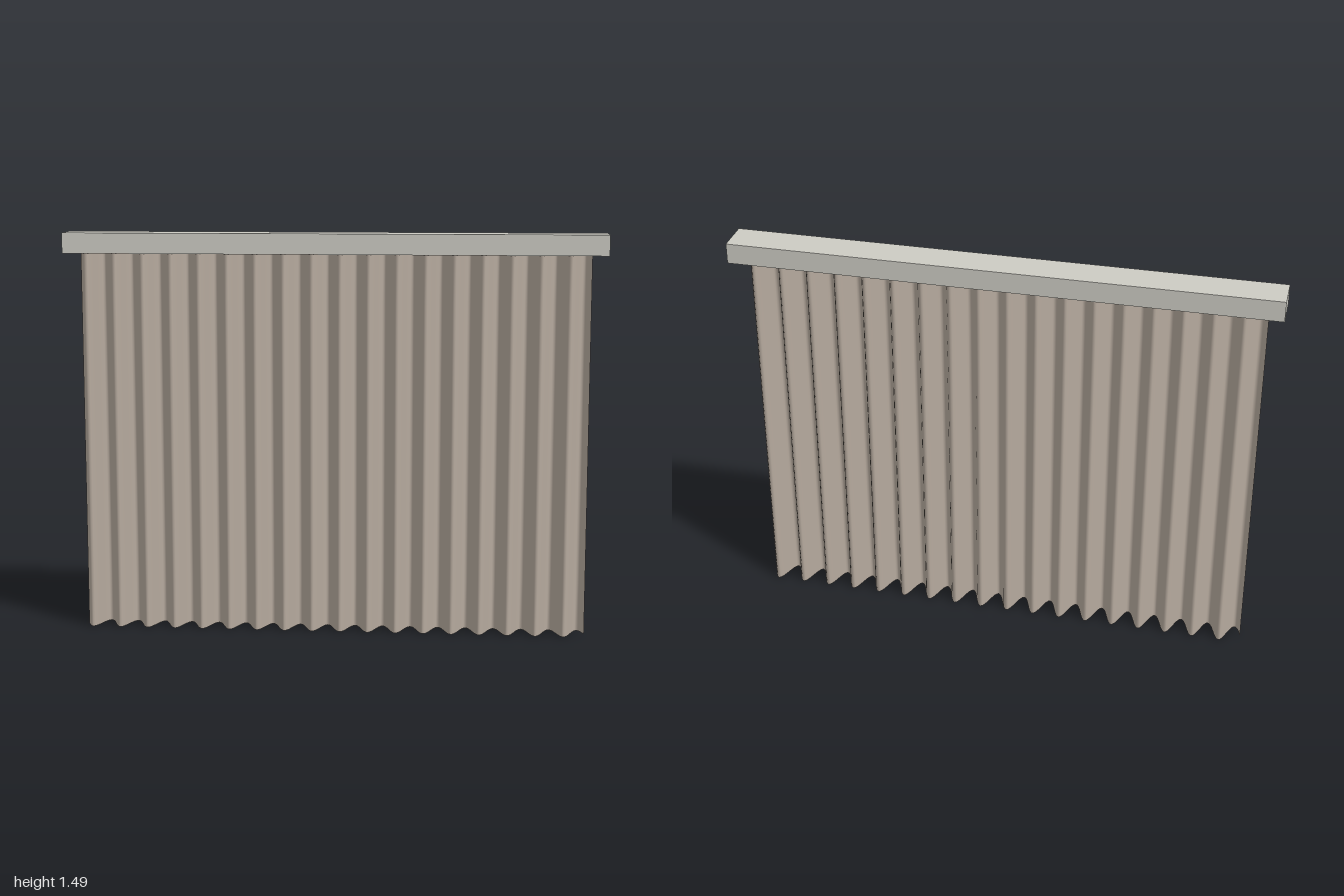
import * as THREE from 'three';

const WIDTH = 1.884, TOP = 1.42, FOLDS = 18, STEPS = 16;

// Hanging sheet with regular soft folds that deepen slightly toward the hem
function pleatedSheet() {
  const geometry = new THREE.PlaneGeometry(WIDTH, TOP, FOLDS * STEPS, 8);
  geometry.translate(0, TOP / 2, 0);
  const p = geometry.attributes.position;
  for (let i = 0; i < p.count; i++) {
    const t = p.getX(i) / WIDTH + 0.5;
    const depth = 0.047 - 0.004 * (p.getY(i) / TOP);
    p.setZ(i, 0.0115 + depth * Math.sin(t * FOLDS * Math.PI * 2));
  }
  geometry.computeVertexNormals();
  return geometry;
}

export function createModel() {
  const group = new THREE.Group();
  group.name = 'curtain';

  const fabric = new THREE.MeshStandardMaterial({ color: 0xb5a99d, side: THREE.DoubleSide });
  fabric.name = 'taupe fabric';
  const rail = new THREE.MeshStandardMaterial({ color: 0xcccbc3 });
  rail.name = 'pale grey rail';

  // Pleated curtain
  const sheet = new THREE.Mesh(pleatedSheet(), fabric);
  sheet.name = 'pleatedCurtain';
  group.add(sheet);

  // Box rail along the top
  const header = new THREE.Mesh(new THREE.BoxGeometry(2, 0.076, 0.134), rail);
  header.name = 'headRail';
  header.position.y = 1.455;
  group.add(header);

  return group;
}
